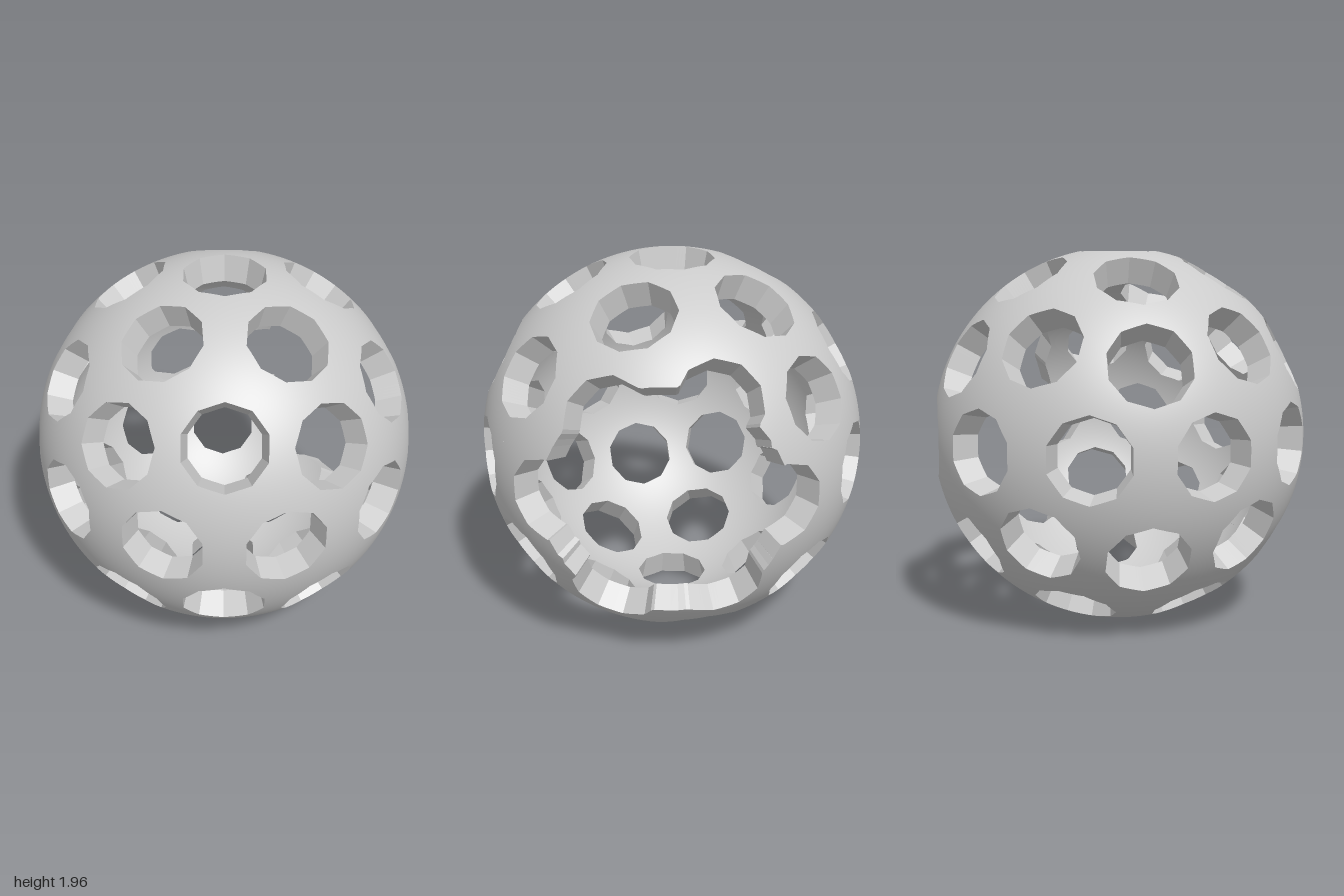
import * as THREE from 'three';

const R = 1, INNER = 0.86;             // outer and inner shell radius
const RIM = 0.222;                     // tangent of the angle to a hole's corner
const SIDES = 10;                      // sides of each hole
const OPENING = Math.asin(0.6);        // angular radius of the large rear opening
const CENTRE = [0, 0.978, -0.087];
const BACK = new THREE.Vector3(0, 0, -1);
const TAU = Math.PI * 2;

function direction(colatDeg, azDeg) {
  return new THREE.Vector3().setFromSphericalCoords(1, colatDeg * Math.PI / 180, azDeg * Math.PI / 180);
}

// Hole axes: corners and edge midpoints of an icosahedron
function holeAxes() {
  const upper = [new THREE.Vector3(0, 1, 0)];
  const equator = [];
  for (let k = 0; k < 5; k++) {
    upper.push(direction(31.717, 18 + 72 * k), direction(63.435, 18 + 72 * k), direction(58.283, 72 * k - 18));
  }
  for (let k = 0; k < 10; k++) equator.push(direction(90, 36 * k));
  return [...upper, ...equator, ...upper.map((d) => d.clone().negate())];
}

// Collects quads, with radial normals (sign) or flat ones (sign 0)
class Surface {
  constructor(sign) { this.sign = sign; this.pos = []; this.nor = []; }
  tri(a, b, c) {
    const flat = b.clone().sub(a).cross(c.clone().sub(a));
    if (flat.lengthSq() < 1e-14) return;
    flat.normalize();
    for (const p of [a, b, c]) {
      const n = this.sign ? p.clone().normalize().multiplyScalar(this.sign) : flat;
      this.pos.push(p.x, p.y, p.z);
      this.nor.push(n.x, n.y, n.z);
    }
  }
  quad(a, b, c, d) { this.tri(a, b, c); this.tri(a, c, d); }
  mesh(name, material) {
    const g = new THREE.BufferGeometry();
    g.setAttribute('position', new THREE.Float32BufferAttribute(this.pos, 3));
    g.setAttribute('normal', new THREE.Float32BufferAttribute(this.nor, 3));
    const m = new THREE.Mesh(g, material);
    m.name = name;
    return m;
  }
}

// One cell: the strip from a hole's rim to the lines halfway to its neighbours
function addCell(axis, axes, outer, inner, walls) {
  const u = Math.abs(axis.y) > 0.99
    ? new THREE.Vector3(1, 0, 0)
    : new THREE.Vector3(0, 1, 0).addScaledVector(axis, -axis.y).normalize();
  const v = axis.clone().cross(u);

  // neighbour bearings and half distances in the tangent plane
  const sides = axes
    .filter((o) => o !== axis && o.angleTo(axis) < 0.7)
    .map((o) => ({ a: Math.atan2(o.dot(v), o.dot(u)), m: Math.tan(o.angleTo(axis) / 2) }))
    .sort((p, q) => p.a - q.a);

  // sample bearings: hole corners, points between, and the cell's own corners
  const steps = SIDES * 8;
  const angles = Array.from({ length: steps }, (_, i) => i * TAU / steps);
  sides.forEach((p, i) => {
    const q = sides[(i + 1) % sides.length];
    const t = Math.atan2(p.m * Math.cos(q.a) - q.m * Math.cos(p.a), q.m * Math.sin(p.a) - p.m * Math.sin(q.a));
    angles.push((t + TAU) % TAU, (t + Math.PI + TAU) % TAU);
  });
  angles.sort((p, q) => p - q);
  angles.push(TAU);

  const opened = axis.angleTo(BACK) < OPENING;
  const rays = angles.map((t) => {
    const dir = u.clone().multiplyScalar(Math.cos(t)).addScaledVector(v, Math.sin(t));
    let end = Infinity;
    for (const s of sides) {
      const c = Math.cos(t - s.a);
      if (c > 1e-6) end = Math.min(end, s.m / c);
    }
    end = Math.atan(end);
    const half = Math.PI / SIDES;
    let start = Math.atan(RIM * Math.cos(half) / Math.cos((t % (2 * half)) - half));
    if (opened) {   // keep only what lies outside the rear opening
      const A = axis.dot(BACK), B = dir.dot(BACK);
      start = Math.max(start, Math.atan2(B, A) + Math.acos(Math.cos(OPENING) / Math.hypot(A, B)));
    }
    const cut = start >= end;
    if (cut) start = end;
    const at = (f, r) => {
      const psi = start + (end - start) * f;
      return axis.clone().multiplyScalar(r * Math.cos(psi)).addScaledVector(dir, r * Math.sin(psi));
    };
    return { at, cut };
  });

  const rings = 3;
  for (let i = 0; i + 1 < rays.length; i++) {
    const p = rays[i], q = rays[i + 1];
    if (p.cut && q.cut) continue;
    for (let j = 0; j < rings; j++) {
      const f = j / rings, g = (j + 1) / rings;
      outer.quad(p.at(f, R), p.at(g, R), q.at(g, R), q.at(f, R));
      inner.quad(p.at(f, INNER), q.at(f, INNER), q.at(g, INNER), p.at(g, INNER));
    }
    walls.quad(p.at(0, R), q.at(0, R), q.at(0, INNER), p.at(0, INNER));
  }
}

export function createModel() {
  const group = new THREE.Group();
  group.name = 'perforatedSphere';
  const material = new THREE.MeshStandardMaterial({ color: 0xcccccc, side: THREE.DoubleSide });

  const outer = new Surface(1), inner = new Surface(-1), walls = new Surface(0);
  const axes = holeAxes();
  for (const axis of axes) {
    if (axis.angleTo(BACK) < 0.1) continue;   // swallowed by the rear opening
    addCell(axis, axes, outer, inner, walls);
  }

  group.add(
    outer.mesh('outerShell', material),
    inner.mesh('innerShell', material),
    walls.mesh('holeWalls', material),
  );
  for (const m of group.children) m.position.set(...CENTRE);
  return group;
}
